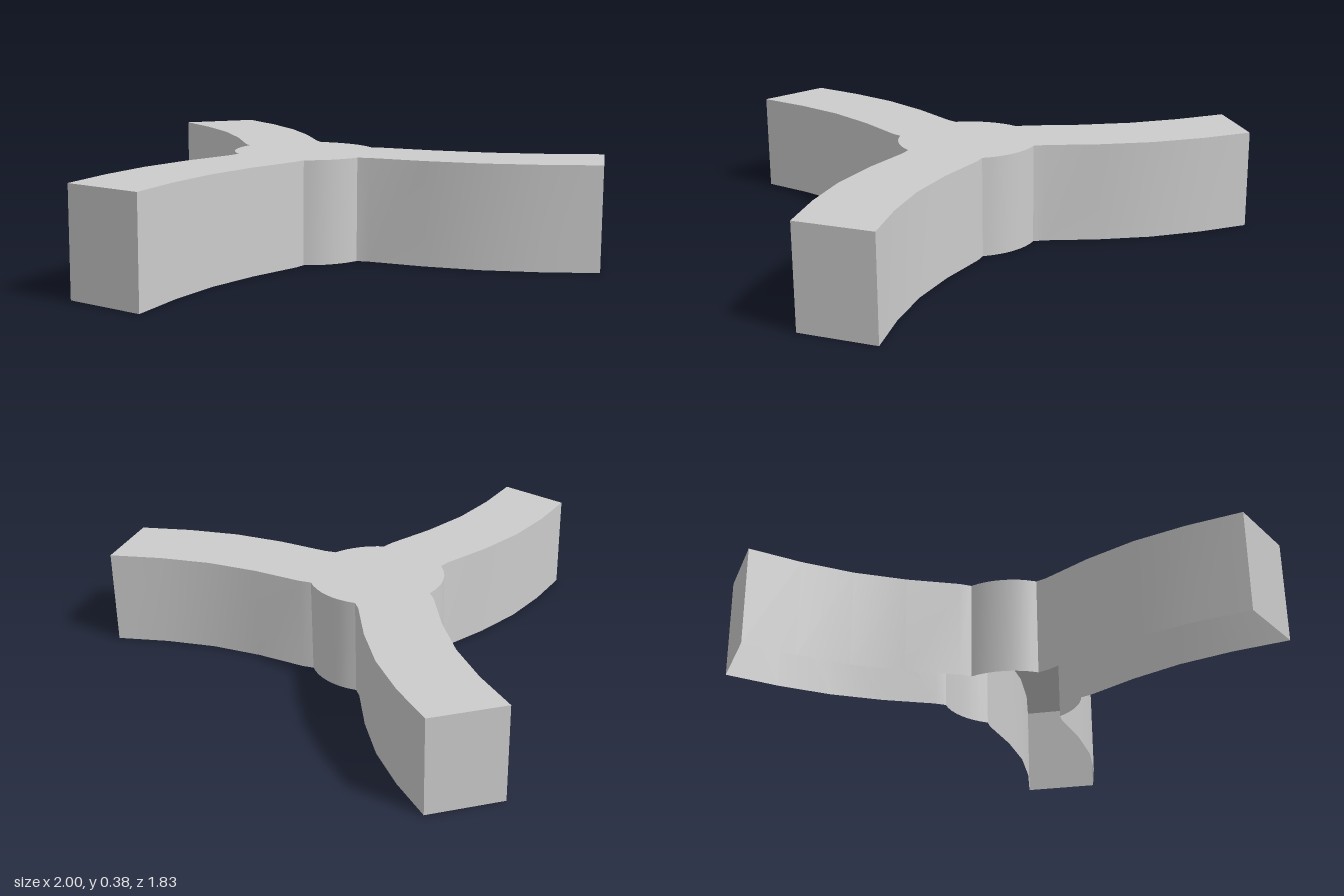
import * as THREE from 'three';
import { toCreasedNormals } from 'three/addons/utils/BufferGeometryUtils.js';

const HEIGHT = 0.385, HUB_R = 0.27, ARM_R = 1.1, HALF = 0.15, BOW = 0.05, CENTRE_Z = 0.18;
const rad = THREE.MathUtils.degToRad;
const ARMS = [90, 213.5, 326.5].map(rad);

// Counter-clockwise outline seen from above: three bowed arms joined by hub arcs
function outline() {
  const pts = [];
  const polar = (a, r, side) => pts.push(new THREE.Vector2(
    Math.cos(a) * r - Math.sin(a) * side,
    Math.sin(a) * r + Math.cos(a) * side - CENTRE_Z));
  const root = Math.asin(HALF / HUB_R);
  const stations = [[Math.cos(root) * HUB_R, 0]];
  for (let i = 0; i <= 4; i++) {
    const t = i / 4;
    stations.push([HUB_R + (ARM_R - HUB_R) * t, -BOW * Math.sin(Math.PI * t)]);
  }
  ARMS.forEach((a, k) => {
    for (const [r, bow] of stations) polar(a, r, bow - HALF);
    for (const [r, bow] of [...stations].reverse()) polar(a, r, bow + HALF);
    // hub arc to the next arm
    const next = k < 2 ? ARMS[k + 1] : ARMS[0] + Math.PI * 2;
    for (let i = 1; i < 8; i++) {
      polar(THREE.MathUtils.lerp(a + root, next - root, i / 8), HUB_R, 0);
    }
  });
  return pts;
}

export function createModel() {
  const group = new THREE.Group();
  group.name = 'threeArmedCover';
  const material = new THREE.MeshStandardMaterial({ color: 0xcccccc, side: THREE.DoubleSide });
  const pts = outline();

  // Flat top; the underside stays open
  const topGeo = new THREE.ShapeGeometry(new THREE.Shape(pts));
  topGeo.rotateX(-Math.PI / 2).translate(0, HEIGHT, 0);
  const top = new THREE.Mesh(topGeo, material);
  top.name = 'topPlate';

  // Upright wall: a strip wrapped around the outline
  const wallGeo = new THREE.PlaneGeometry(1, HEIGHT, pts.length, 1);
  const pos = wallGeo.attributes.position;
  for (let i = 0; i < pos.count; i++) {
    const p = pts[i % (pts.length + 1) % pts.length];
    pos.setXYZ(i, p.x, pos.getY(i) + HEIGHT / 2, -p.y);
  }
  const wall = new THREE.Mesh(toCreasedNormals(wallGeo, rad(28)), material);
  wall.name = 'sideWall';

  group.add(top, wall);
  return group;
}
